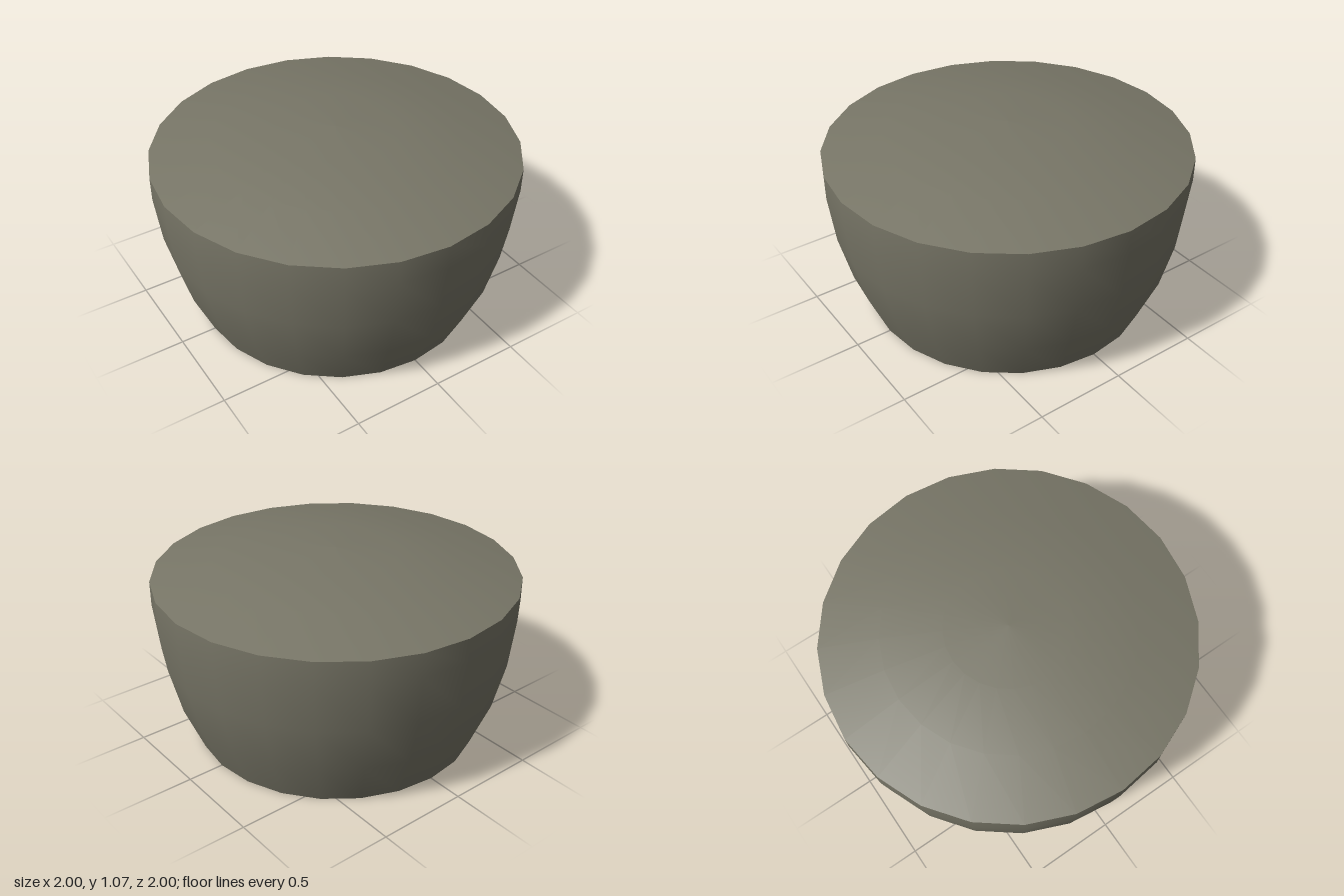
import * as THREE from 'three';

const olive = new THREE.MeshStandardMaterial({ color: 0x787667 });
olive.name = 'olive grey';

// Revolved strip; profiles run axis -> down -> out -> up so faces point outward.
function strip(name, profile, sides) {
  const points = profile.map(([r, y]) => new THREE.Vector2(r, y));
  const mesh = new THREE.Mesh(new THREE.LatheGeometry(points, sides), olive);
  mesh.name = name;
  return mesh;
}

export function createModel() {
  const model = new THREE.Group();
  model.name = 'knob';

  // Outer shell: separate strips keep the rims sharp and the walls smooth
  const shell = new THREE.Group();
  shell.name = 'shell';
  shell.add(
    strip('dome', [[1, 0.935], [0.67, 1.01], [0.34, 1.055], [0, 1.065]], 24),
    strip('side', [[0.8, 0], [0.905, 0.26], [0.97, 0.53], [1, 0.8], [1, 0.935]], 24),
    strip('bottomRim', [[0.667, 0], [0.8, 0]], 24),
    strip('cavityWall', [[0.87, 0.8], [0.84, 0.53], [0.775, 0.26], [0.667, 0]], 24),
    strip('cavityCeiling', [[0, 0.8], [0.87, 0.8]], 24),
  );

  // Hollow shaft socket inside the cavity, narrowing slightly upwards
  const socket = new THREE.Group();
  socket.name = 'socket';
  socket.add(
    strip('socketCeiling', [[0, 0.41], [0.41, 0.41]], 16),
    strip('socketBore', [[0.41, 0.41], [0.467, 0]], 16),
    strip('socketRim', [[0.467, 0], [0.53, 0]], 16),
    strip('socketWall', [[0.53, 0], [0.42, 0.8]], 16),
  );

  model.add(shell, socket);
  return model;
}
